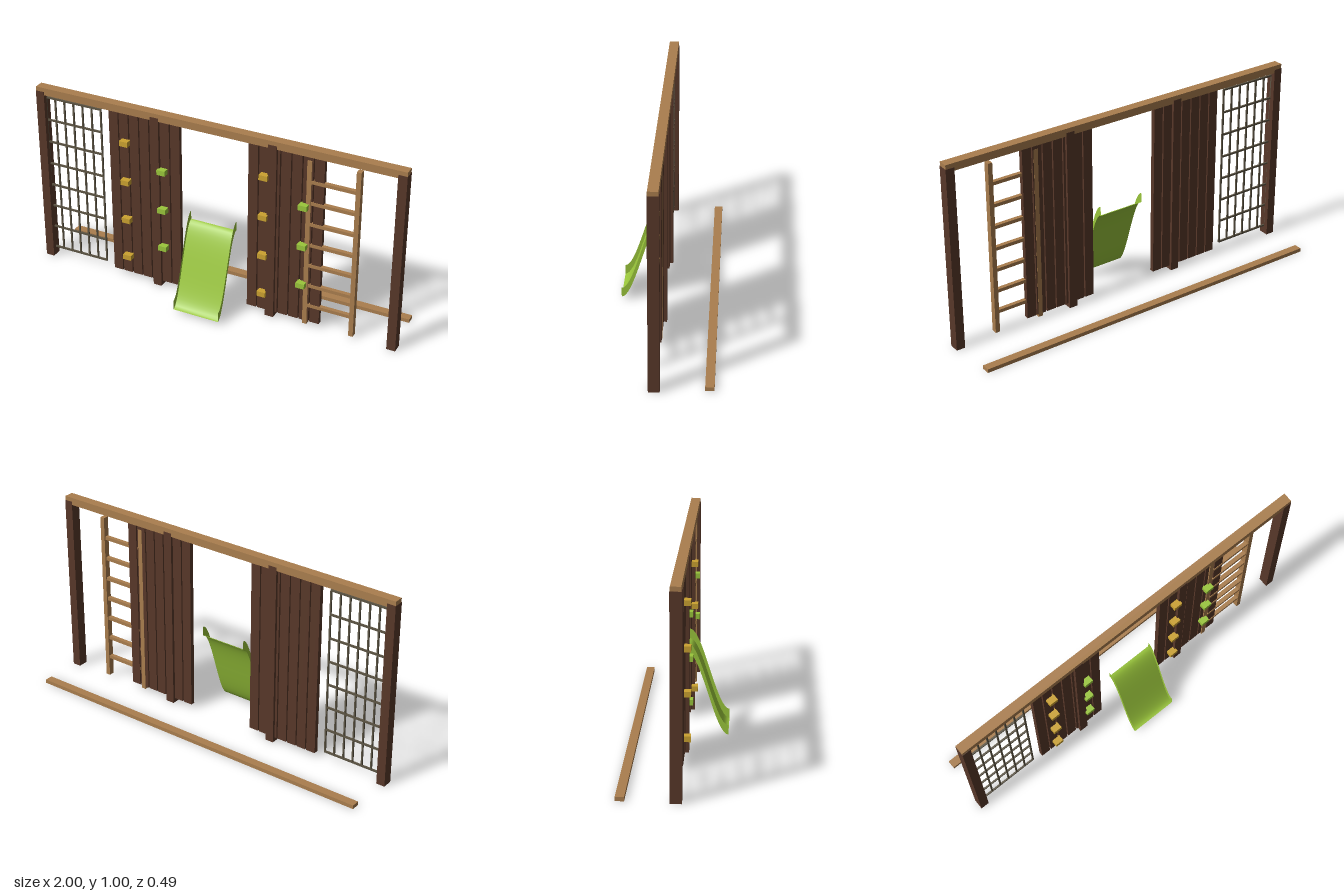
import * as THREE from 'three';

const mat = (name, color, side = THREE.FrontSide) => {
  const m = new THREE.MeshStandardMaterial({ color, side });
  m.name = name;
  return m;
};

export function createModel() {
  const darkWood = mat('dark wood', 0x583829);
  const lightWood = mat('light wood', 0xaa7e4e);
  const green = mat('slide green', 0x9ac63b, THREE.DoubleSide);
  const yellow = mat('hold yellow', 0xcba230);
  const rope = mat('rope', 0x5c5443);

  const model = new THREE.Group();
  model.name = 'climbingFrame';
  const group = (name) => {
    const g = new THREE.Group();
    g.name = name;
    model.add(g);
    return g;
  };
  // box given by its limits on each axis
  const box = (parent, name, m, [x0, x1], [y0, y1], [z0, z1]) => {
    const mesh = new THREE.Mesh(new THREE.BoxGeometry(x1 - x0, y1 - y0, z1 - z0), m);
    mesh.position.set((x0 + x1) / 2, (y0 + y1) / 2, (z0 + z1) / 2);
    mesh.name = name;
    parent.add(mesh);
  };
  const around = (c, size) => [c - size / 2, c + size / 2];

  // frame: top beam, four posts and the loose rail behind
  const frame = group('frame');
  box(frame, 'topBeam', lightWood, [-0.999, 0.999], [0.96, 1], [0.006, 0.056]);
  for (const x of [-0.977, -0.32, 0.32, 0.977])
    box(frame, 'post', darkWood, around(x, 0.046), [0, 0.978], [0.004, 0.058]);
  box(frame, 'groundRail', lightWood, [-0.98, 0.976], [0, 0.02], [-0.245, -0.202]);

  // two plank walls with climbing holds
  for (const side of [-1, 1]) {
    const wall = group(side < 0 ? 'rightWall' : 'leftWall');
    for (let i = 0; i < 7; i++)
      box(wall, 'plank', darkWood, around(side * 0.387 + (i - 3) * 0.0578, 0.051), [0.023, 0.96], [0.018, 0.042]);
    const yellowX = side < 0 ? -0.49 : 0.28;
    for (let i = 0; i < 4; i++)
      box(wall, 'yellowHold', yellow, around(yellowX, 0.046), around(0.129 + i * 0.223, 0.028), [0.036, 0.075]);
    for (let i = 0; i < 3; i++)
      box(wall, 'greenHold', green, around(yellowX + 0.21, 0.046), around(0.241 + i * 0.222, 0.028), [0.036, 0.075]);
  }

  // ladder
  const ladder = group('ladder');
  for (const x of [0.51, 0.76])
    box(ladder, 'ladderRail', lightWood, around(x, 0.024), [0.008, 0.936], [0.017, 0.048]);
  for (let i = 0; i < 7; i++)
    box(ladder, 'rung', lightWood, [0.515, 0.755], around(0.118 + i * 0.1172, 0.018), [0.024, 0.045]);

  // climbing net
  const net = group('net');
  for (let i = 0; i < 8; i++)
    box(net, 'ropeAcross', rope, [-0.96, -0.636], around(0.048 + i * 0.1272, 0.009), around(0.031, 0.009));
  for (let i = 0; i < 7; i++)
    box(net, 'ropeUp', rope, around(-0.958 + i * 0.0533, 0.008), [0.046, 0.94], around(0.031, 0.008));

  // slide: thin strips swept along an S curve
  const slide = group('slide');
  const curve = (t) => {
    const s = t * t * (3 - 2 * t);
    return [0.018 + 0.427 * s, 0.245 - 0.205 * t];
  };
  const strip = (name, xa, ya, xb, yb) => {
    const n = 20;
    const pos = [];
    const index = [];
    for (let i = 0; i <= n; i++) {
      const [y, z] = curve(i / n);
      pos.push(xa, y + ya, z, xb, y + yb, z);
      if (i < n) {
        const k = i * 2;
        index.push(k, k + 1, k + 2, k + 1, k + 3, k + 2);
      }
    }
    const g = new THREE.BufferGeometry();
    g.setAttribute('position', new THREE.Float32BufferAttribute(pos, 3));
    g.setIndex(index);
    g.computeVertexNormals();
    const mesh = new THREE.Mesh(g, green);
    mesh.name = name;
    slide.add(mesh);
  };
  strip('slideBed', -0.127, 0, 0.125, 0);
  strip('slideRightSide', -0.127, 0.05, -0.127, 0);
  strip('slideLeftSide', 0.125, 0, 0.125, 0.05);

  return model;
}
